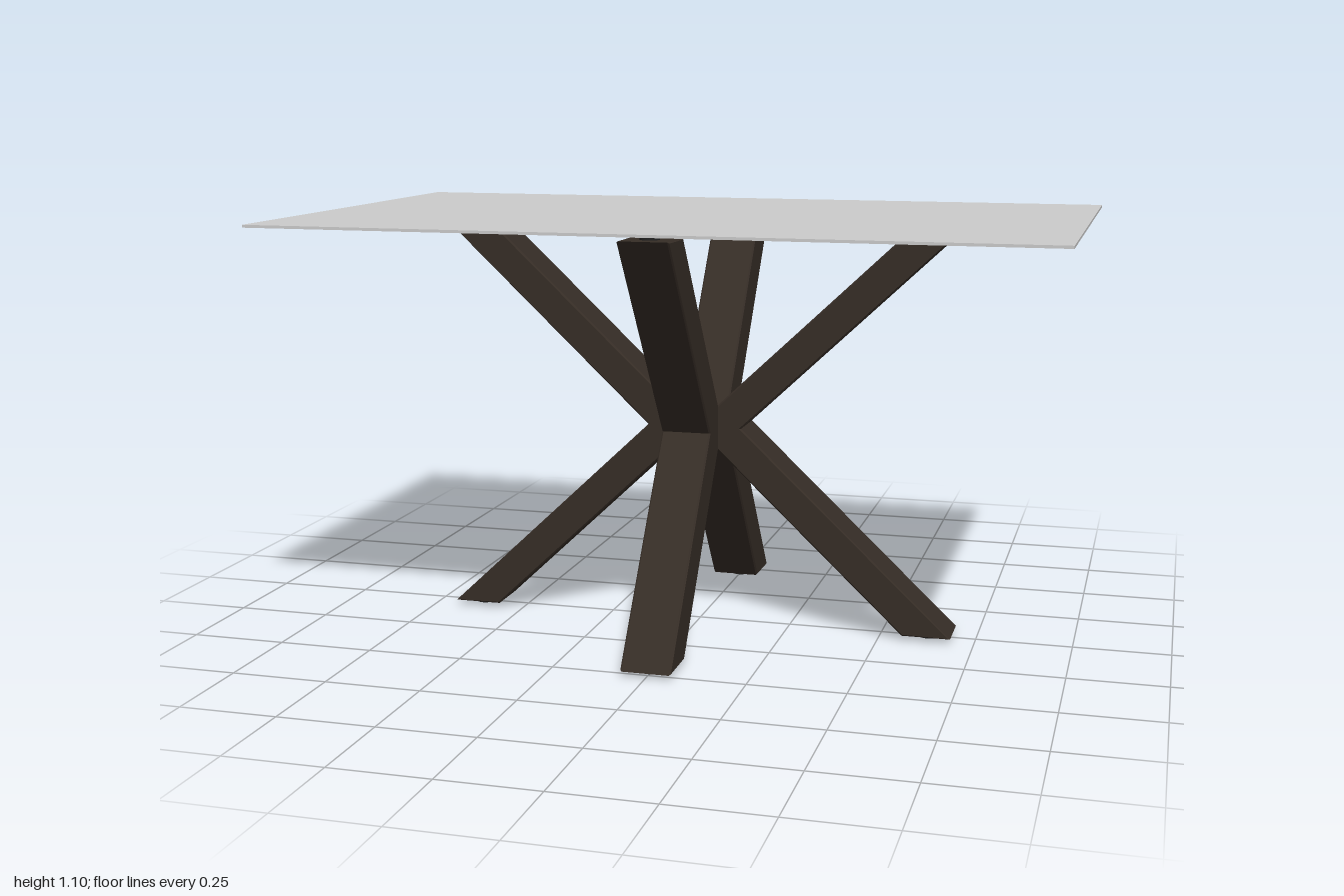
import * as THREE from 'three';

const BOTTOM = 0.013, TOP = 1.075, MID = (BOTTOM + TOP) / 2;
const wood = new THREE.MeshStandardMaterial({ color: 0x362d26 });
const rubber = new THREE.MeshStandardMaterial({ color: 0x222222 });
const glass = new THREE.MeshStandardMaterial({ color: 0xcccccc });

// Elbowed beam: runs out to `reach` at floor and top, bends at `elbow` half way up
function beamGeometry(reach, elbow, width, depth) {
  const bevel = 0.004;
  const shape = new THREE.Shape([
    [reach - width, BOTTOM], [reach, BOTTOM], [elbow, MID],
    [reach, TOP], [reach - width, TOP], [elbow - width, MID],
  ].map(([x, y]) => new THREE.Vector2(x, y)));
  const geometry = new THREE.ExtrudeGeometry(shape, {
    depth: depth - 2 * bevel, bevelEnabled: true, bevelSize: bevel,
    bevelThickness: bevel, bevelOffset: -bevel, bevelSegments: 1,
  });
  return geometry.translate(0, 0, bevel - depth / 2);
}

function addPad(parent, name, x, y0, y1, radius) {
  const pad = new THREE.Mesh(new THREE.CylinderGeometry(radius, radius, y1 - y0, 24), rubber);
  pad.name = name;
  pad.position.set(x, (y0 + y1) / 2, 0);
  parent.add(pad);
}

export function createModel() {
  const model = new THREE.Group();
  model.name = 'diningTable';

  // Thin table top
  const top = new THREE.Mesh(new THREE.BoxGeometry(2, 0.007, 1.2), glass);
  top.name = 'tableTop';
  top.position.y = 1.0955;
  model.add(top);

  // Four elbowed legs, one along each horizontal axis
  const sideBeam = beamGeometry(0.69, 0.127, 0.127, 0.13);
  const endBeam = beamGeometry(0.525, 0.145, 0.127, 0.13);
  ['leftLeg', 'backLeg', 'rightLeg', 'frontLeg'].forEach((name, i) => {
    const along = i % 2 === 0;
    const leg = new THREE.Group();
    leg.name = name;
    const beam = new THREE.Mesh(along ? sideBeam : endBeam, wood);
    beam.name = 'beam';
    leg.add(beam);
    const padX = along ? 0.626 : 0.463;
    addPad(leg, 'foot', padX, 0, BOTTOM + 0.002, 0.0275);
    addPad(leg, 'topSupport', padX, TOP - 0.002, 1.092, 0.0245);
    leg.rotation.y = i * Math.PI / 2;
    model.add(leg);
  });
  return model;
}
